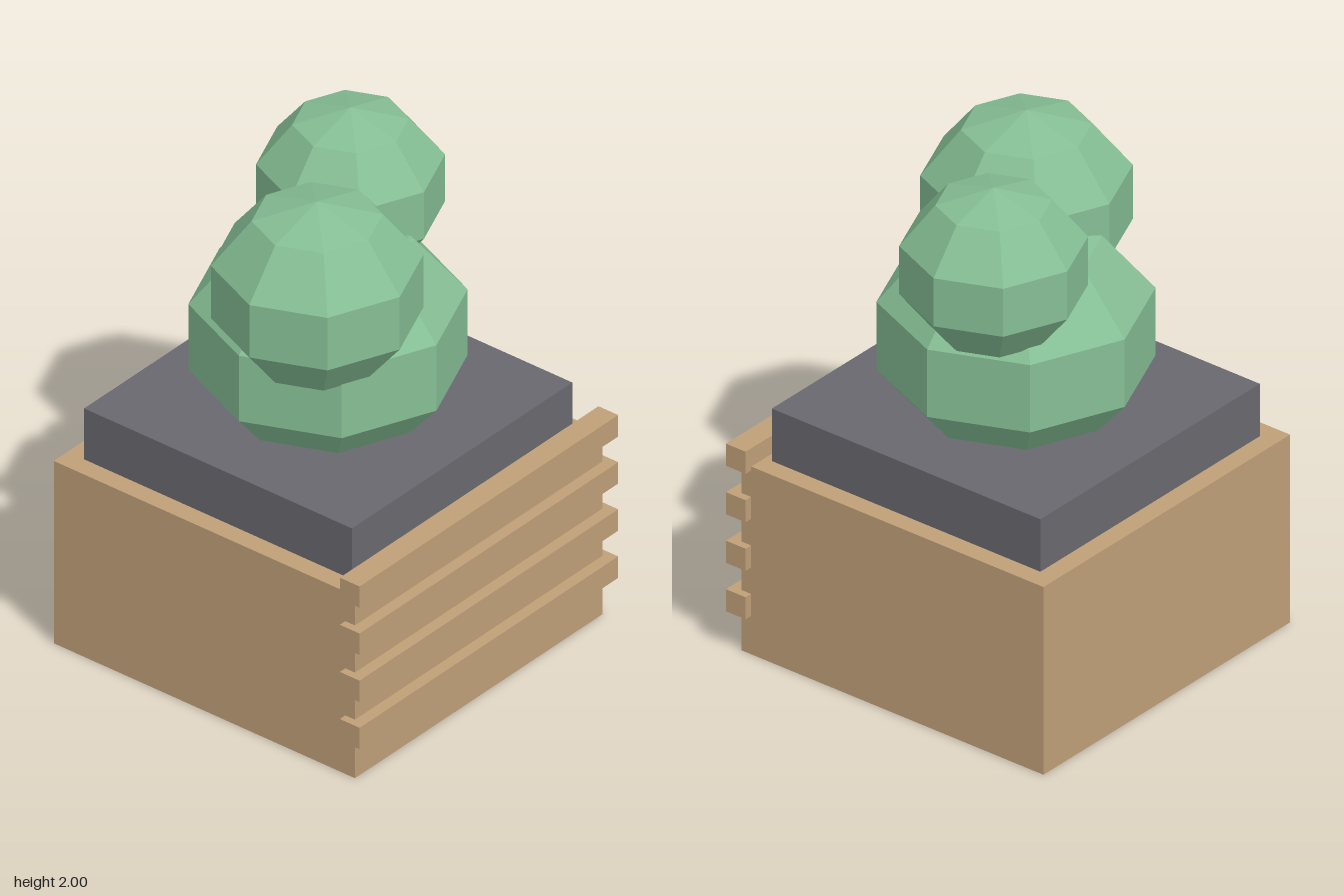
import * as THREE from 'three';

const wood = new THREE.MeshStandardMaterial({ color: 0xbf9f78 });
const soilGrey = new THREE.MeshStandardMaterial({ color: 0x68686e });
const leaf = new THREE.MeshStandardMaterial({ color: 0x85be94, flatShading: true });

export function createModel() {
  const model = new THREE.Group();
  model.name = 'planter';

  const add = (name, geometry, material, x, y, z) => {
    const mesh = new THREE.Mesh(geometry, material);
    mesh.name = name;
    mesh.position.set(x, y, z);
    model.add(mesh);
    return mesh;
  };

  // Wooden box and the raised block of soil sunk into it
  add('planterBox', new THREE.BoxGeometry(1.374, 0.766, 1.374), wood, 0, 0.383, -0.023);
  add('soil', new THREE.BoxGeometry(1.222, 0.38, 1.222), soilGrey, 0, 0.79, -0.023);

  // Four slats across the front, slightly wider than the box
  for (let i = 0; i < 4; i++) {
    add(`frontSlat${i + 1}`, new THREE.BoxGeometry(1.435, 0.09, 0.09), wood,
      0, 0.201 + i * 0.198, 0.665);
  }

  // Faceted, slightly flattened foliage balls
  const foliage = (name, radius, squash, x, y, z) => {
    const ball = add(name, new THREE.SphereGeometry(radius, 8, 5), leaf, x, y, z);
    ball.scale.y = squash;
  };
  foliage('lowerFoliage', 0.52, 0.855, 0, 1.257, -0.024);
  foliage('rightFoliage', 0.396, 0.9, -0.246, 1.625, 0.129);
  foliage('leftFoliage', 0.352, 0.9, 0.275, 1.685, -0.147);

  return model;
}
